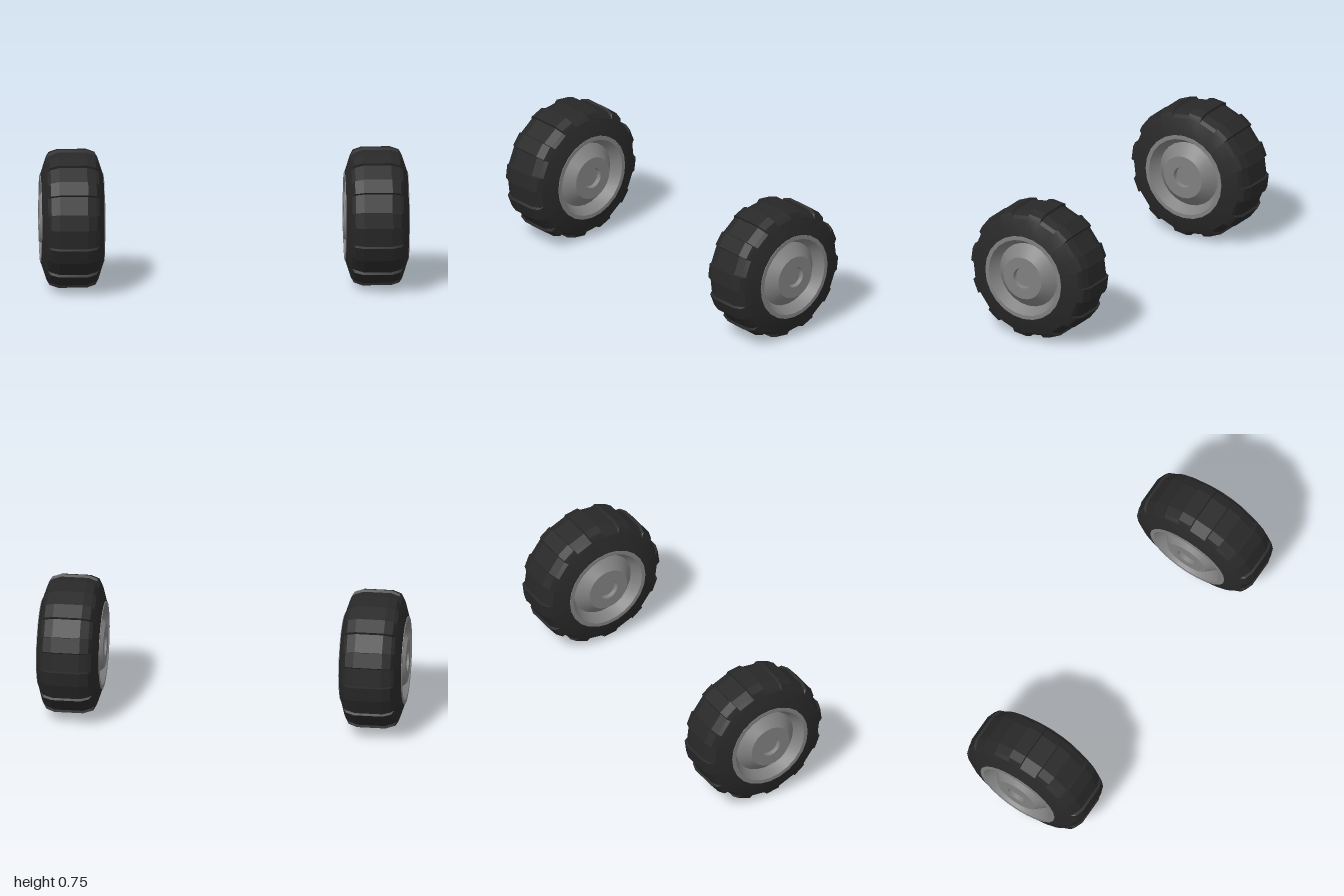
import * as THREE from 'three';
import { toCreasedNormals } from 'three/addons/utils/BufferGeometryUtils.js';

const RADIUS = 0.375;
const LUGS = 12;

// Tyre cross-sections, half of each as [x, radius] from the rim to the crown
const GROOVE = [[0.171, 0.225], [0.168, 0.243], [0.139, 0.332], [0.121, 0.346], [0.075, 0.362]];
const LUG = [[0.171, 0.225], [0.168, 0.243], [0.139, 0.332], [0.124, 0.359], [0.078, RADIUS]];

// Mirrors a half section across x = 0
function fullSection(half) {
  return [...half.map(([x, r]) => [-x, r]), ...[...half].reverse()];
}

// Sweeps the sections round the x axis, stepping up and down at each lug
function tyreGeometry() {
  const rings = [];
  const groove = fullSection(GROOVE), lug = fullSection(LUG);
  for (let i = 0; i < LUGS; i++) {
    const start = i * 360 / LUGS;
    rings.push([start + 15.3, groove], [start + 16.2, lug], [start + 28.6, lug], [start + 29.1, groove]);
  }
  const n = groove.length;
  const positions = [], index = [];
  rings.forEach(([degrees, section], i) => {
    const a = THREE.MathUtils.degToRad(degrees);
    for (const [x, r] of section) positions.push(x, r * Math.cos(a), r * Math.sin(a));
    const next = (i + 1) % rings.length;
    for (let j = 0; j < n - 1; j++) {
      const p = i * n + j, q = next * n + j;
      index.push(p, q, p + 1, q, q + 1, p + 1);
    }
  });
  const geometry = new THREE.BufferGeometry();
  geometry.setAttribute('position', new THREE.Float32BufferAttribute(positions, 3));
  geometry.setIndex(index);
  return toCreasedNormals(geometry, 0.2);
}

// Dished rim with a raised hub and a recessed centre on both faces
function rimGeometry() {
  const half = [
    [0, 0.155], [0.054, 0.155], [0.058, 0.178], [0.12, 0.178],
    [0.182, 0.115], [0.218, 0.172], [0.24, 0.172], [0.24, 0.165],
  ];
  const profile = [
    ...half.map(([r, x]) => new THREE.Vector2(r, -x)),
    ...[...half].reverse().map(([r, x]) => new THREE.Vector2(r, x)),
  ];
  const geometry = new THREE.LatheGeometry(profile, 24);
  geometry.rotateZ(-Math.PI / 2);
  return toCreasedNormals(geometry, 0.4);
}

export function createModel() {
  const rubber = new THREE.MeshStandardMaterial({ color: 0x282828 });
  rubber.name = 'black rubber';
  const metal = new THREE.MeshStandardMaterial({ color: 0x808080 });
  metal.name = 'grey metal';

  const tyre = tyreGeometry();
  const rim = rimGeometry();
  const model = new THREE.Group();
  model.name = 'wheelPair';

  for (const [name, side] of [['leftWheel', 1], ['rightWheel', -1]]) {
    const wheel = new THREE.Group();
    wheel.name = name;
    const tyreMesh = new THREE.Mesh(tyre, rubber);
    tyreMesh.name = 'tyre';
    const rimMesh = new THREE.Mesh(rim, metal);
    rimMesh.name = 'rim';
    wheel.add(tyreMesh, rimMesh);
    wheel.position.set(side * 0.822, RADIUS, 0);
    model.add(wheel);
  }
  return model;
}
